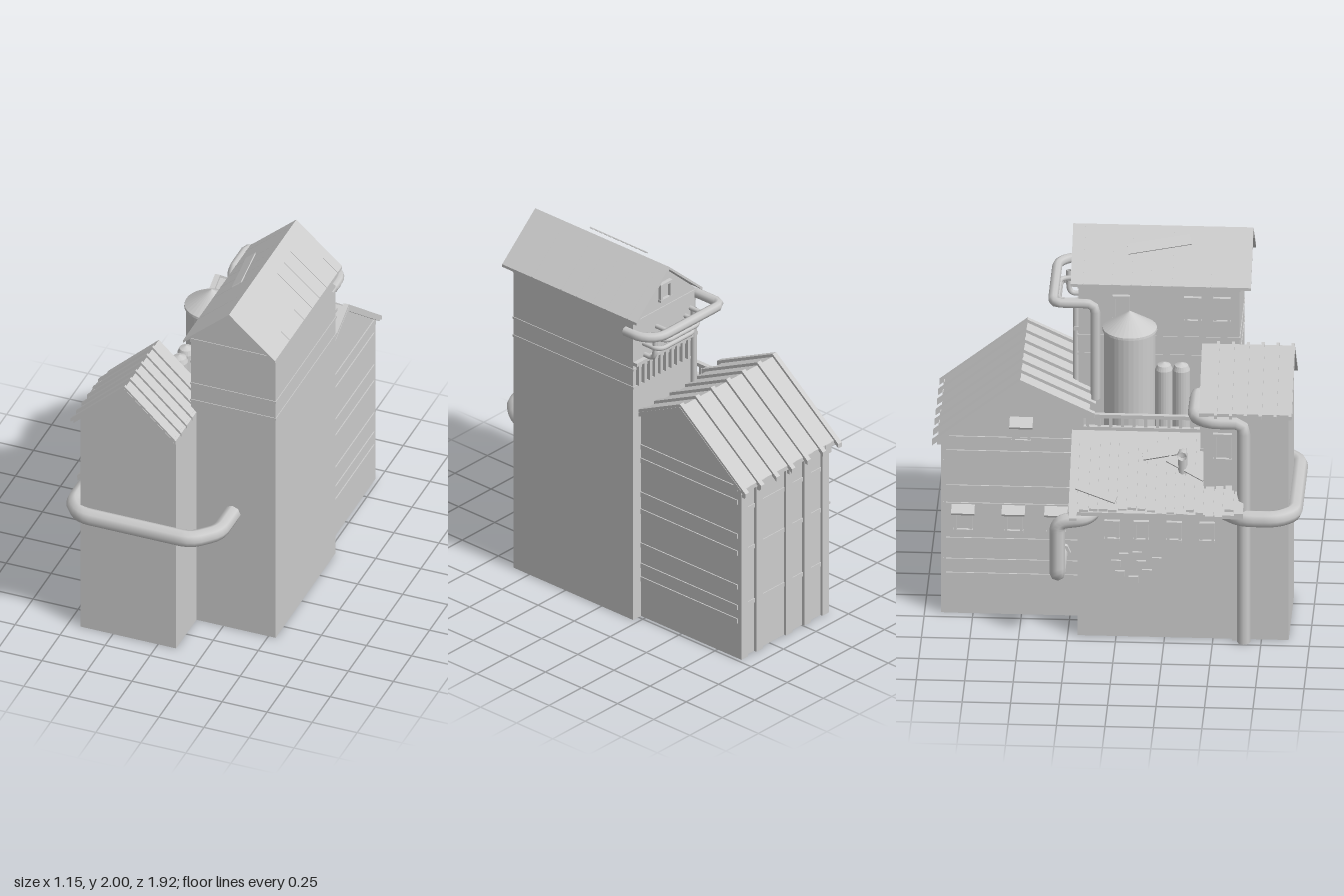
import * as THREE from 'three';

const mat = new THREE.MeshStandardMaterial({ color: 0xcccccc, flatShading: true, side: THREE.DoubleSide });
const smooth = new THREE.MeshStandardMaterial({ color: 0xcccccc, side: THREE.DoubleSide });

export function createModel() {
  const model = new THREE.Group();
  model.name = 'factory';

  const add = (parent, name, geo, material = mat) => {
    const m = new THREE.Mesh(geo, material);
    m.name = name;
    parent.add(m);
    return m;
  };
  const section = (name) => {
    const g = new THREE.Group();
    g.name = name;
    model.add(g);
    return g;
  };
  // Box given by its minimum and maximum corners
  const box = (parent, name, x0, x1, y0, y1, z0, z1) => {
    const m = add(parent, name, new THREE.BoxGeometry(x1 - x0, y1 - y0, z1 - z0));
    m.position.set((x0 + x1) / 2, (y0 + y1) / 2, (z0 + z1) / 2);
    return m;
  };
  // Profile (u, y) swept from a to b along 'z' (u = x) or along 'x' (u = z)
  const sweep = (axis, pts, a, b) => {
    const s = axis === 'x' ? -1 : 1;
    const shape = new THREE.Shape(pts.map(([u, y]) => new THREE.Vector2(s * u, y)));
    const g = new THREE.ExtrudeGeometry(shape, { depth: b - a, bevelEnabled: false });
    g.translate(0, 0, a);
    if (axis === 'x') g.rotateY(Math.PI / 2);
    return g;
  };
  // Building shell without a floor
  const shell = (axis, pts, a, b) => {
    const src = sweep(axis, pts, a, b).toNonIndexed().getAttribute('position');
    const keep = [];
    for (let i = 0; i < src.count; i += 3) {
      if ([0, 1, 2].every((k) => Math.abs(src.getY(i + k)) < 1e-5)) continue;
      for (let k = 0; k < 3; k++) keep.push(src.getX(i + k), src.getY(i + k), src.getZ(i + k));
    }
    const g = new THREE.BufferGeometry();
    g.setAttribute('position', new THREE.Float32BufferAttribute(keep, 3));
    g.computeVertexNormals();
    return g;
  };
  // Thin roof sheet following a polyline
  const sheet = (axis, line, t, a, b) =>
    sweep(axis, [...line, ...line.map(([u, y]) => [u, y - t]).reverse()], a, b);
  // Pipe through points with rounded corners
  const pipe = (parent, name, pts, r, bend = 0.05, sides = 8) => {
    const v = pts.map((p) => new THREE.Vector3(...p));
    const path = new THREE.CurvePath();
    let from = v[0];
    for (let i = 1; i < v.length - 1; i++) {
      const toward = (q) => v[i].clone().add(q.clone().sub(v[i]).setLength(Math.min(bend, q.distanceTo(v[i]) * 0.45)));
      const p = toward(v[i - 1]), q = toward(v[i + 1]);
      path.add(new THREE.LineCurve3(from, p));
      path.add(new THREE.QuadraticBezierCurve3(p, v[i], q));
      from = q;
    }
    path.add(new THREE.LineCurve3(from, v[v.length - 1]));
    return add(parent, name, new THREE.TubeGeometry(path, 48, r, sides, false), smooth);
  };
  // Framed window facing +z before turning, with an optional hood
  const windowAt = (parent, x, y, z, turn, w = 0.07, h = 0.11, hood = false) => {
    const g = new THREE.Group();
    g.name = 'window';
    g.position.set(x, y, z);
    g.rotation.y = turn;
    parent.add(g);
    for (const s of [-1, 1]) {
      box(g, 'windowJamb', s * w / 2 - 0.007, s * w / 2 + 0.007, -h / 2, h / 2, -0.01, 0.02);
      box(g, 'windowRail', -w / 2 - 0.01, w / 2 + 0.01, s * h / 2 - 0.007, s * h / 2 + 0.007, -0.01, 0.022);
    }
    box(g, 'windowPane', -w / 2, w / 2, -h / 2, h / 2, -0.01, 0.004);
    if (hood) {
      const m = box(g, 'windowHood', -w / 2 - 0.02, w / 2 + 0.02, h / 2 + 0.005, h / 2 + 0.017, -0.01, 0.07);
      m.rotation.x = 0.4;
    }
  };
  const LEFT = -Math.PI / 2, BACK = Math.PI;

  // Tall tower
  const tower = section('tower');
  add(tower, 'towerWalls', shell('z', [[0.07, 0], [0.54, 0], [0.54, 1.77], [0.305, 1.98], [0.07, 1.77]], -0.22, 0.61));
  add(tower, 'towerRoof', sheet('z', [[0.05, 1.775], [0.305, 2], [0.56, 1.775]], 0.015, -0.26, 0.67));
  for (const y of [1.37, 1.475, 1.75]) box(tower, 'towerBand', 0.066, 0.544, y - 0.006, y + 0.006, -0.225, 0.614);
  for (const z of [-0.2, -0.05, 0.05, 0.15, 0.26, 0.46])
    add(tower, 'roofSeam', sheet('z', [[0.05, 1.778], [0.305, 2], [0.56, 1.778]], 0.012, z, z + 0.005));
  const plank = add(tower, 'loosePlank', new THREE.BoxGeometry(0.06, 0.006, 0.33));
  plank.position.set(0.195, 1.945, 0.19);
  plank.rotation.set(0, 0.2, 0.66, 'ZYX');
  windowAt(tower, 0.305, 1.85, -0.22, BACK, 0.07, 0.09);
  for (const z of [0, 0.37, 0.52]) windowAt(tower, 0.07, 1.64, z, LEFT, 0.07, 0.13);
  for (let i = 0; i < 11; i++) {
    const x = 0.09 + i * 0.042;
    box(tower, 'wallSlat', x - 0.009, x + 0.009, 1.38, 1.5, -0.24, -0.22);
  }
  box(tower, 'slatRail', 0.07, 0.54, 1.5, 1.52, -0.245, -0.22);

  // Pipes behind the tower
  pipe(tower, 'towerPipe', [[0, 1.15, -0.13], [0, 1.69, -0.13], [0, 1.69, -0.35], [0.48, 1.69, -0.35],
    [0.545, 1.69, -0.28], [0.545, 1.69, -0.17]], 0.026);
  for (let i = 0; i < 3; i++) {
    const y = 1.66 - i * 0.03, x = 0.36 + i * 0.05;
    pipe(tower, 'thinPipe', [[0.1 + i * 0.04, y, -0.2], [0.1 + i * 0.04, y, -0.33], [x, y, -0.33], [x, y, -0.2]], 0.013);
  }
  pipe(tower, 'drainHook', [[0.45, 1.66, -0.29], [0.45, 1.53, -0.29], [0.45, 1.53, -0.21]], 0.014);
  pipe(tower, 'downPipe', [[0.09, 1.1, -0.235], [0.09, 1.66, -0.235]], 0.016);

  // Rear hall with asymmetric roof
  const hall = section('rearHall');
  add(hall, 'hallWalls', shell('x', [[-0.9, 0], [-0.18, 0], [-0.18, 1.16], [-0.505, 1.32], [-0.9, 1.01]], -0.2, 0.48));
  const hallLine = [[-0.93, 1.01], [-0.505, 1.345], [-0.15, 1.175]];
  add(hall, 'hallRoof', sheet('x', hallLine, 0.025, -0.24, 0.5));
  for (let i = 0; i < 7; i++) {
    const x = -0.23 + i * 0.119;
    add(hall, 'roofRib', sheet('x', [[-0.96, 1.0], [-0.505, 1.362], [-0.12, 1.178]], 0.025, x - 0.014, x + 0.014));
  }
  for (const x of [-0.17, -0.03, 0.11, 0.34, 0.455]) {
    box(hall, 'pilaster', x - 0.025, x + 0.025, 0, 1, -0.915, -0.89);
    box(hall, 'eaveBracket', x - 0.02, x + 0.02, 0.955, 1.01, -0.935, -0.9);
  }
  for (const y of [0.3, 0.62, 0.86]) box(hall, 'rearBand', -0.2, 0.48, y - 0.012, y + 0.012, -0.905, -0.89);
  for (const y of [0.22, 0.3, 0.42, 0.62, 0.72, 0.92, 1.0])
    for (const [x0, x1] of [[-0.208, -0.19], [0.47, 0.486]]) box(hall, 'sideBand', x0, x1, y - 0.014, y + 0.014, -0.89, -0.2);
  for (const z of [-0.8, -0.54, -0.32]) windowAt(hall, -0.2, 0.54, z, LEFT, 0.08, 0.12, true);
  windowAt(hall, -0.2, 1.05, -0.5, LEFT, 0.08, 0.1, true);

  // Front house
  const house = section('frontHouse');
  add(house, 'houseWalls', shell('z', [[-0.43, 0], [0.1, 0], [0.1, 1.3], [-0.18, 1.55], [-0.43, 1.31]], 0.45, 0.89));
  add(house, 'houseRoof', sheet('z', [[-0.46, 1.3], [-0.18, 1.565], [0.09, 1.31]], 0.02, 0.43, 0.91));
  for (let i = 0; i < 6; i++) {
    const z = 0.515 + i * 0.077;
    add(house, 'roofRib', sheet('z', [[-0.48, 1.3], [-0.18, 1.58], [0.105, 1.31]], 0.02, z - 0.008, z + 0.008));
  }
  windowAt(house, -0.14, 1.37, 0.45, BACK, 0.08, 0.11);
  windowAt(house, -0.27, 1.1, 0.45, BACK, 0.09, 0.15);
  windowAt(house, -0.43, 1.1, 0.55, LEFT, 0.08, 0.14);
  pipe(house, 'wallPipe', [[-0.11, 1.25, 0.47], [-0.11, 1.25, 0.4], [-0.4, 1.25, 0.4], [-0.465, 1.25, 0.48],
    [-0.465, 1.25, 0.66], [-0.465, 0, 0.66]], 0.034);
  box(house, 'cornerPost', -0.45, -0.41, 0, 1.28, 0.6, 0.64);
  pipe(house, 'connectingPipe', [[0.3, 0.72, 0.6], [0.3, 0.72, 0.8], [0.19, 0.72, 0.915], [-0.42, 0.72, 0.915],
    [-0.495, 0.72, 0.83], [-0.495, 0.72, 0.65], [-0.42, 0.72, 0.57]], 0.045);

  // Low shed with ragged plank roof
  const shed = section('leftShed');
  add(shed, 'shedWalls', shell('z', [[-0.43, 0], [-0.18, 0], [-0.18, 1.02], [-0.43, 0.81]], -0.2, 0.64));
  const slope = (x) => 0.73 + (x + 0.57) * 0.9;
  add(shed, 'shedRoof', sheet('z', [[-0.54, slope(-0.54)], [-0.2, slope(-0.2)]], 0.02, -0.24, 0.66));
  let seed = 7;
  const rand = () => (seed = (seed * 16807) % 2147483647) / 2147483647;
  for (let i = 0; i < 18; i++) {
    const z = -0.235 + i * 0.05, x0 = -0.575 + rand() * 0.05, x1 = -0.22 - rand() * 0.04, up = 0.008 + rand() * 0.014;
    add(shed, 'roofPlank', sheet('z', [[x0, slope(x0) + up], [x1, slope(x1) + up]], 0.014, z, z + 0.036 + rand() * 0.014));
  }
  for (const [x, z, turn] of [[-0.48, -0.1, 0.35], [-0.31, 0.24, -0.2], [-0.37, 0.36, 0.5]]) {
    const m = add(shed, 'loosePlank', new THREE.BoxGeometry(0.04, 0.012, 0.22));
    m.position.set(x, slope(x) + 0.03, z);
    m.rotation.set(0, -turn, 0.73, 'ZYX');
  }
  pipe(shed, 'roofVent', [[-0.36, 0.88, 0.34], [-0.36, 1.03, 0.34], [-0.42, 1.03, 0.34]], 0.025, 0.03);
  for (const z of [-0.02, 0.13, 0.3, 0.47]) windowAt(shed, -0.43, 0.61, z, LEFT, 0.06, 0.1);
  for (const [z, y] of [[0.0, 0.42], [0.04, 0.46], [0.02, 0.36], [0.09, 0.33], [0.13, 0.42], [0.16, 0.37], [0.21, 0.44], [0.11, 0.47]])
    box(shed, 'exposedBrick', -0.445, -0.42, y - 0.018, y + 0.018, z - 0.025, z + 0.025);
  pipe(shed, 'elbowPipe', [[-0.42, 0.7, -0.12], [-0.5, 0.7, -0.16], [-0.5, 0.68, -0.3], [-0.5, 0.37, -0.3],
    [-0.2, 0.37, -0.3]], 0.04);
  const flange = add(shed, 'pipeFlange', new THREE.CylinderGeometry(0.055, 0.055, 0.025, 8));
  flange.rotation.z = Math.PI / 2;
  flange.position.set(-0.22, 0.37, -0.3);

  // Railing along the shed ridge
  for (const y of [1.07, 1.14]) box(shed, 'handRail', -0.195, -0.17, y - 0.01, y + 0.01, -0.18, 0.42);
  for (let i = 0; i < 10; i++) {
    const z = -0.16 + i * 0.06;
    box(shed, 'railPost', -0.19, -0.175, 1.0, 1.14, z - 0.008, z + 0.008);
  }

  // Silos in the yard
  const silos = section('silos');
  const silo = (x, z, pts, sides) => {
    add(silos, 'silo', new THREE.LatheGeometry(pts.map((p) => new THREE.Vector2(...p)), sides), mat).position.set(x, 0, z);
  };
  silo(-0.04, 0.05, [[0, 0.9], [0.132, 0.9], [0.132, 1.57], [0.142, 1.57], [0.14, 1.582], [0, 1.675]], 32);
  for (const [z, h] of [[0.23, 1.38], [0.32, 1.38]])
    silo(-0.11, z, [[0, 0.9], [0.045, 0.9], [0.045, h], [0.035, h + 0.025], [0, h + 0.04]], 20);

  return model;
}
